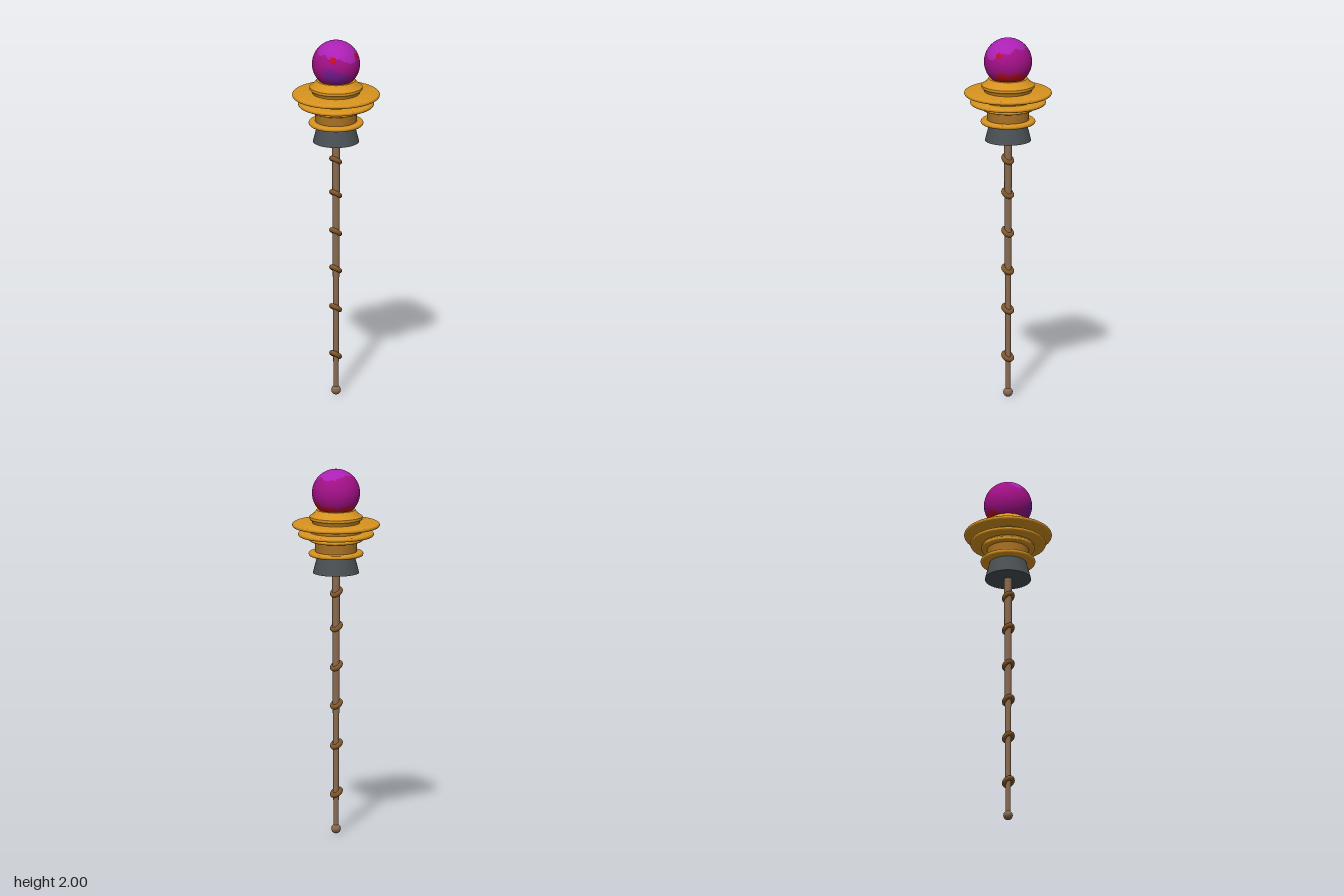
import * as THREE from 'three';
import { toCreasedNormals } from 'three/addons/utils/BufferGeometryUtils.js';

const material = (name, color) => {
  const m = new THREE.MeshStandardMaterial({ color });
  m.name = name;
  return m;
};

export function createModel() {
  const staff = new THREE.Group();
  staff.name = 'staff';

  const gold = material('gold', 0xd8931f);
  const bronze = material('bronze', 0xa87024);
  const iron = material('iron', 0x4a5054);
  const wood = material('wood', 0x8a6a50);
  const vine = material('vine', 0x80562a);
  const purple = material('purple', 0xac20b4);
  const magenta = material('magenta', 0xa01085);
  const violet = material('violet', 0x7a1c94);
  const red = material('red', 0xc00c20);

  const add = (name, geometry, mat, y = 0) => {
    const mesh = new THREE.Mesh(geometry, mat);
    mesh.name = name;
    mesh.position.y = y;
    staff.add(mesh);
    return mesh;
  };
  const lathe = (points) => toCreasedNormals(
    new THREE.LatheGeometry(points.map(([r, y]) => new THREE.Vector2(r, y)), 64), 0.7);

  // Round-edged disc, centred on y = 0
  const disc = (radius, half) => {
    const points = [[0, -half]];
    for (let i = 0; i <= 8; i++) {
      const a = -Math.PI / 2 + (i / 8) * Math.PI;
      points.push([radius - half + half * Math.cos(a), half * Math.sin(a)]);
    }
    points.push([0, half]);
    return lathe(points);
  };

  // Shaft and foot knob
  add('shaft', new THREE.CylinderGeometry(0.022, 0.014, 1.42, 16), wood, 0.74);
  add('footKnob', new THREE.SphereGeometry(0.026, 20, 14), wood, 0.026);

  // Tilted bands wound round the shaft
  [0.225, 0.49, 0.71, 0.92, 1.135, 1.325].forEach((y, i) => {
    const ring = new THREE.TorusGeometry(0.026, 0.0135, 12, 28);
    ring.rotateX(Math.PI / 2).scale(1, 1, 0.88).rotateZ(-0.6);
    add('band' + (i + 1), ring, vine, y).position.x = -0.003;
  });

  // Flared iron socket
  add('socket', lathe([[0, 1.432], [0.125, 1.432], [0.1, 1.53], [0, 1.53]]), iron);

  // Gold crown of stacked discs
  add('lowerRing', disc(0.148, 0.012), gold, 1.537);
  add('neck', lathe([[0, 1.54], [0.113, 1.54], [0.113, 1.61], [0, 1.61]]), bronze);
  add('neckRing', disc(0.145, 0.01), gold, 1.615);
  add('middleDisc', disc(0.205, 0.011), gold, 1.644);
  add('spacer', lathe([[0, 1.61], [0.14, 1.61], [0.14, 1.69], [0, 1.69]]), bronze);
  add('upperDisc', disc(0.237, 0.011), gold, 1.695);
  add('collar', lathe([[0, 1.69], [0.125, 1.69], [0.13, 1.715], [0.143, 1.728],
    [0.143, 1.742], [0.122, 1.756], [0.105, 1.778], [0, 1.778]]), gold);

  // Orb with painted patches chosen by direction
  const orb = new THREE.SphereGeometry(0.13, 60, 40).toNonIndexed();
  const patches = [purple, magenta, violet, red];
  const spots = [[-0.69, 0.42, 0.58], [0.4, 0.44, 0.8]].map((p) => new THREE.Vector3(...p).normalize());
  const violetCentre = new THREE.Vector3(-0.65, -0.4, 0.65).normalize();
  const patchAt = (d) => {
    const wobble = 0.1 * Math.sin(5 * d.x + 2 * d.z) + 0.07 * Math.sin(9 * d.z - 4 * d.x);
    if (spots.some((s) => s.angleTo(d) < 0.13)) return 3;
    const redLine = -0.6 + 0.15 * d.x + 0.12 * Math.max(d.z, 0);
    if (d.angleTo(violetCentre) < 0.45 + wobble) return 2;
    if (d.y + wobble < redLine) return 3;
    return d.y + wobble > 0.6 - 0.25 * d.z ? 0 : 1;
  };
  const pos = orb.attributes.position;
  const d = new THREE.Vector3(), corner = new THREE.Vector3();
  let start = 0, current = -1;
  for (let i = 0; i < pos.count; i += 3) {
    d.set(0, 0, 0);
    for (let k = 0; k < 3; k++) d.add(corner.fromBufferAttribute(pos, i + k));
    const index = patchAt(d.normalize());
    if (index !== current) {
      if (current >= 0) orb.addGroup(start, i - start, current);
      start = i;
      current = index;
    }
  }
  orb.addGroup(start, pos.count - start, current);
  add('orb', orb, patches, 1.87);

  return staff;
}
